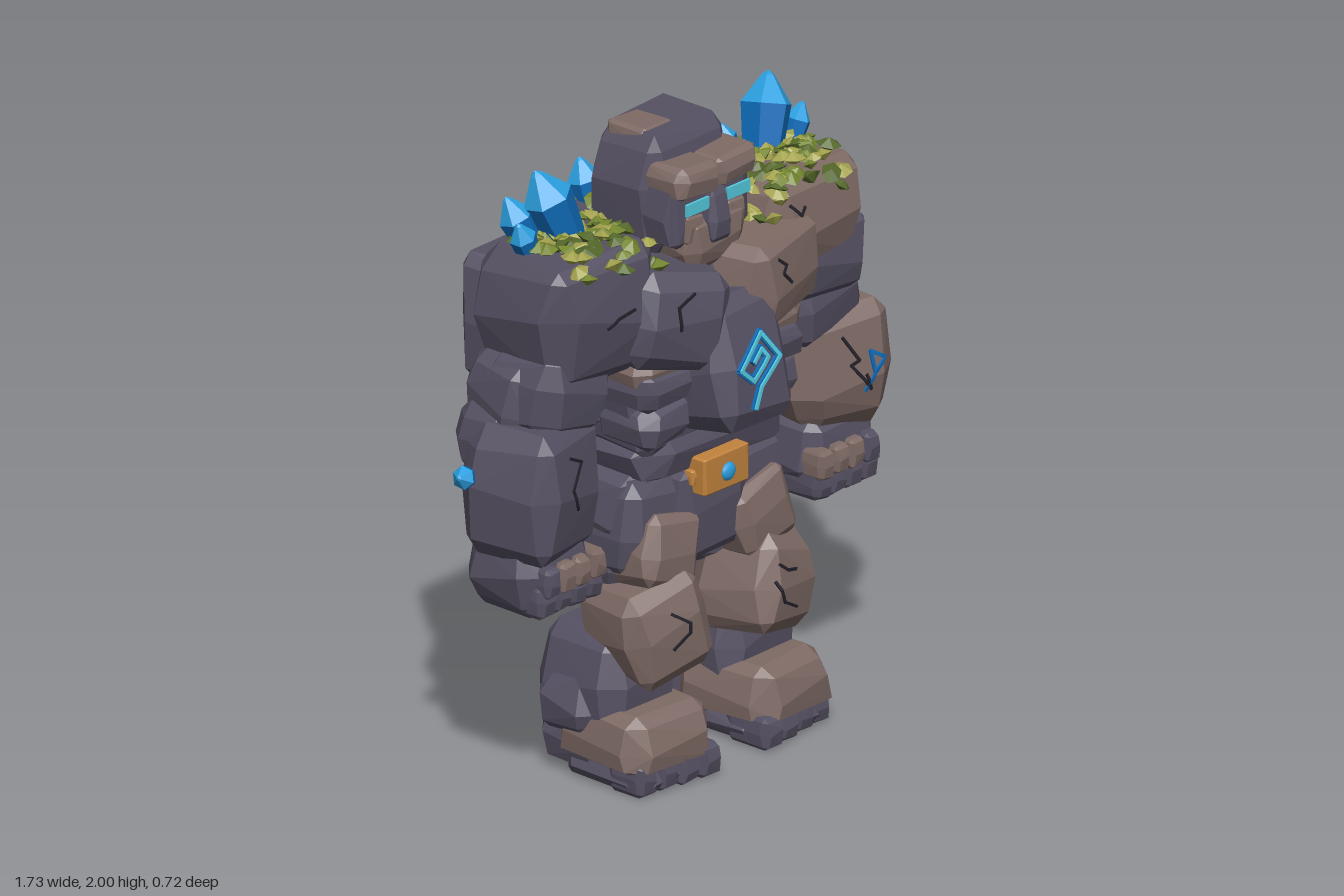
import * as THREE from 'three';
import { ConvexGeometry } from 'three/addons/geometries/ConvexGeometry.js';

const material = (name, color) => {
  const m = new THREE.MeshStandardMaterial({ color });
  m.name = name;
  return m;
};

export function createModel() {
  const root = new THREE.Group();
  root.name = 'stoneGolem';
  const dark = material('slate stone', 0x565163), brown = material('brown stone', 0x7e6a65);
  const crackMat = material('crack black', 0x25222b), orange = material('buckle orange', 0xc2833d);
  const blue = material('crystal blue', 0x0f6bb8), light = material('crystal tip blue', 0x2ba0e0);
  const cyan = material('glow cyan', 0x54c8dc);
  const mosses = [material('moss green', 0x74862f), material('moss olive', 0xa3a24d), material('moss dark', 0x55682a)];

  let seed = 7;
  const rand = () => (seed = (seed * 16807) % 2147483647) / 2147483647;
  const rocks = [];

  function add(name, geo, mat, parent = root) {
    const m = new THREE.Mesh(geo, mat);
    m.name = name;
    parent.add(m);
    return m;
  }

  // Chamfered boulder filling the ranges b = [x0, x1, y0, y1, z0, z1]; top and bottom scale its ends
  function rock(name, mat, b, { r = [0, 0, 0], c = 0.2, top = 0.92, bottom = 0.92, j = 0.05 } = {}) {
    const h = [(b[1] - b[0]) / 2, (b[3] - b[2]) / 2, (b[5] - b[4]) / 2];
    const pts = [];
    for (const sx of [-1, 1]) for (const sy of [-1, 1]) for (const sz of [-1, 1]) {
      const s = [sx, sy, sz], k = sy > 0 ? top : bottom;
      const cut = c * (0.7 + rand() * 0.8);
      for (let axis = 0; axis < 3; axis++) {
        const p = s.map((v, i) => v * h[i] * (i === axis ? 1 - rand() * j : 1 - cut * 1.5 - rand() * j));
        pts.push(new THREE.Vector3(p[0] * k, p[1], p[2] * k));
      }
    }
    // Belt of points around the middle keeps tapered rocks full
    for (const sx of [-1, 1]) for (const sz of [-1, 1]) {
      const y = h[1] * (rand() - 0.5) * 0.5;
      pts.push(new THREE.Vector3(sx * h[0], y, sz * h[2] * 0.62), new THREE.Vector3(sx * h[0] * 0.62, y, sz * h[2]));
    }
    const m = add(name, new ConvexGeometry(pts), mat);
    m.position.set((b[0] + b[1]) / 2, (b[2] + b[3]) / 2, (b[4] + b[5]) / 2);
    m.rotation.set(...r);
    rocks.push(m);
    return m;
  }

  // Head
  rock('head', dark, [-0.18, 0.21, 1.6, 2.0, -0.21, 0.09], { c: 0.14, top: 0.87 });
  rock('headCap', brown, [-0.13, 0.02, 1.9, 2.003, -0.16, 0.02], { c: 0.16 });
  rock('face', dark, [-0.17, 0.2, 1.66, 1.87, -0.02, 0.155], { c: 0.1, j: 0.01 });
  rock('muzzle', brown, [-0.11, 0.16, 1.57, 1.74, 0, 0.18], { c: 0.14, bottom: 0.86 });
  rock('nose', dark, [-0.03, 0.06, 1.66, 1.83, 0.08, 0.2], { c: 0.12, top: 0.75 });
  rock('leftBrow', brown, [0.005, 0.2, 1.82, 1.92, 0, 0.19], { r: [0, 0, 0.06], c: 0.14 });
  rock('rightBrow', brown, [-0.16, 0.035, 1.82, 1.92, 0, 0.19], { r: [0, 0, -0.06], c: 0.14 });
  for (const x of [-0.07, 0.11]) {
    rock('cheek', brown, [x - 0.04, x + 0.045, 1.67, 1.76, 0.05, 0.168], { c: 0.1 });
    add('eye', new THREE.BoxGeometry(0.1, 0.038, 0.009), cyan).position.set(x, 1.79, 0.168);
  }

  // Torso
  rock('upperBack', dark, [-0.28, 0.34, 1.25, 1.7, -0.35, 0.02], { c: 0.15, bottom: 0.86, r: [0.04, 0, 0.03] });
  rock('torsoCore', dark, [-0.32, 0.38, 1.0, 1.62, -0.22, 0.17], { c: 0.12 });
  rock('rightChest', dark, [-0.36, 0.01, 1.32, 1.63, -0.05, 0.27], { r: [0, -0.25, -0.2], c: 0.15 });
  rock('leftChest', brown, [0.01, 0.42, 1.35, 1.64, -0.05, 0.28], { r: [0, 0.25, 0.05], c: 0.15 });
  rock('sternum', dark, [-0.14, 0.18, 1.09, 1.51, 0.06, 0.335], { r: [-0.16, 0, 0], c: 0.13, top: 0.84, bottom: 0.94, j: 0.02 });
  for (const [x0, x1] of [[-0.34, -0.08], [0.13, 0.4]]) {
    rock('underChest', brown, [x0, x1, 1.26, 1.37, 0, 0.19]);
    rock('upperRib', dark, [x0 + 0.01, x1, 1.18, 1.32, -0.05, 0.21]);
    rock('lowerRib', dark, [x0 + 0.03, x1 - 0.02, 1.06, 1.21, -0.05, 0.2]);
    rock('backRib', dark, [x0 - 0.01, x1 + 0.02, 1.1, 1.33, -0.29, 0], { r: [0, 0, x0 < 0 ? 0.1 : -0.1] });
  }
  rock('lowerBack', dark, [-0.26, 0.3, 0.93, 1.2, -0.29, 0], { c: 0.16 });
  rock('waist', dark, [-0.29, 0.37, 0.93, 1.08, -0.2, 0.17], { c: 0.14, r: [0, 0, -0.02] });

  // Pelvis and belt
  rock('pelvis', dark, [-0.34, 0.38, 0.64, 0.98, -0.24, 0.13], { c: 0.16, bottom: 0.87 });
  rock('seat', dark, [-0.25, 0.29, 0.61, 0.86, -0.22, 0.05], { bottom: 0.85 });
  rock('loinPlate', dark, [-0.14, 0.18, 0.65, 0.95, 0, 0.17], { c: 0.12, bottom: 0.92 });
  rock('buckle', orange, [-0.085, 0.115, 0.87, 0.99, 0.1, 0.21], { c: 0.06, j: 0.01, top: 1, bottom: 1 });
  rock('buckleTab', orange, [-0.1, -0.06, 0.9, 0.95, 0.1, 0.18], { c: 0.08 });
  const gem = add('buckleGem', new THREE.IcosahedronGeometry(0.03, 1), light);
  gem.position.set(0.02, 0.925, 0.21);
  gem.scale.z = 0.5;

  // Shoulders
  rock('rightShoulder', dark, [-0.67, -0.19, 1.33, 1.745, -0.26, 0.19], { c: 0.15, top: 0.9, bottom: 0.85, r: [0, -0.08, 0.03] });
  rock('rightShoulderBack', dark, [-0.61, -0.24, 1.26, 1.68, -0.34, -0.04], { c: 0.16, r: [0, 0.1, 0] });
  rock('leftShoulder', brown, [0.22, 0.69, 1.4, 1.745, -0.27, 0.21], { c: 0.15, top: 0.9, bottom: 0.9, r: [0, 0.08, -0.04] });
  rock('leftShoulderBack', dark, [0.28, 0.61, 1.22, 1.6, -0.34, -0.04], { c: 0.18, r: [0, -0.1, 0] });
  rock('leftShoulderUnder', dark, [0.37, 0.7, 1.31, 1.55, -0.14, 0.19], { c: 0.15, r: [0, 0, -0.06] });

  // Arms and legs, mirrored about the body's centre line
  for (const s of [-1, 1]) {
    const side = s < 0 ? 'right' : 'left';
    const limb = (name, mat, x0, x1, rest, { r = [0, 0, 0], ...o } = {}) =>
      rock(side + name, mat, [s < 0 ? 0.035 - x1 : x0, s < 0 ? 0.035 - x0 : x1, ...rest], { ...o, r: [r[0], r[1] * s, r[2] * s] });
    limb('UpperArm', dark, 0.41, 0.73, [1.15, 1.45, -0.18, 0.14], { r: [0, 0, 0.2], c: 0.2 });
    limb('ArmBack', dark, 0.47, 0.74, [1.15, 1.42, -0.23, 0.06], { r: [0.1, 0.2, 0.1] });
    limb('Elbow', dark, 0.56, 0.77, [1.04, 1.28, -0.23, 0]);
    limb('Forearm', s < 0 ? dark : brown, 0.475, 0.84, [0.82, 1.235, -0.17, 0.17], { c: 0.18, r: [0, -0.22, 0.05], top: 0.9, bottom: 0.87 });
    limb('Hand', dark, 0.48, 0.8, [0.635, 0.9, -0.17, 0.13], { c: 0.2, bottom: 0.85 });
    for (let i = 0; i < 4; i++) {
      const x = 0.49 + i * 0.068;
      limb('Knuckle', i === 3 ? dark : brown, x, x + 0.058, [0.72, 0.815, 0.03, 0.165], { c: 0.14 });
      limb('Finger', dark, x, x + 0.066, [0.65, 0.76, -0.02, 0.15], { c: 0.16 });
    }

    // Legs
    limb('Hip', dark, 0.12, 0.37, [0.6, 0.95, -0.12, 0.15], { r: [0, 0, 0.06] });
    limb('Thigh', brown, 0.1, 0.345, [0.6, 0.83, 0, 0.2], { r: [-0.1, 0, 0.25], c: 0.15 });
    limb('ThighBack', dark, 0.08, 0.36, [0.53, 0.84, -0.2, 0.1]);
    limb('ThighLower', dark, 0.14, 0.34, [0.38, 0.6, -0.1, 0.1]);
    limb('Knee', brown, 0.1, 0.41, [0.33, 0.64, -0.06, 0.255], { r: [-0.08, 0.2, -0.2], c: 0.2 });
    limb('Shin', dark, 0.11, 0.445, [0.12, 0.48, -0.21, 0.14], { c: 0.17, top: 0.84, bottom: 0.96 });
    limb('Calf', dark, 0.2, 0.475, [0.13, 0.38, -0.17, 0.06], { top: 0.72 });
    limb('Heel', dark, 0.11, 0.44, [0.01, 0.2, -0.2, 0.08], { c: 0.16 });
    limb('Sole', dark, 0.11, 0.44, [0.005, 0.09, -0.1, 0.25], { c: 0.12 });
    limb('Foot', brown, 0.1, 0.455, [0.06, 0.25, -0.12, 0.27], { r: [0, 0.08, 0], c: 0.15, top: 0.9, bottom: 1 });
    for (let i = 0; i < 4; i++) {
      const x = 0.115 + i * 0.081;
      limb('Toe', dark, x, x + 0.08, [0.005, 0.11, 0.1, 0.285 - 0.012 * i], { c: 0.13 });
    }
  }

  root.updateMatrixWorld(true);
  const ray = new THREE.Raycaster();
  const hit = (from, dir) => {
    ray.set(from, dir);
    const found = ray.intersectObjects(rocks, false)[0];
    return found ? found.point : null;
  };

  // Thin line laid on the front surface along [x, y] points, raised by lift
  function line(name, mat, pts, w, lift = 0) {
    const out = new THREE.Vector3(0, 0, -1);
    for (let i = 0; i < pts.length - 1; i++) for (let k = 0; k < 3; k++) {
      const at = t => hit(new THREE.Vector3(
        THREE.MathUtils.lerp(pts[i][0], pts[i + 1][0], t), THREE.MathUtils.lerp(pts[i][1], pts[i + 1][1], t), 2), out);
      const a = at(k / 3), b = at((k + 1) / 3);
      if (!a || !b || Math.abs(a.z - b.z) > 0.06) continue;
      const m = add(name, new THREE.BoxGeometry(w, 0.009, a.distanceTo(b) + w * 0.6), mat);
      a.z += lift;
      b.z += lift;
      m.position.copy(a).add(b).multiplyScalar(0.5);
      m.up.set(0, 0, 1);
      m.lookAt(b);
    }
  }

  const cracks = [
    [[-0.48, 1.53], [-0.44, 1.55], [-0.37, 1.56]],
    [[-0.24, 1.47], [-0.24, 1.54], [-0.18, 1.57]],
    [[0.16, 1.58], [0.2, 1.55], [0.18, 1.53], [0.22, 1.49]],
    [[0.31, 1.68], [0.35, 1.64], [0.37, 1.66]],
    [[-0.62, 1.15], [-0.56, 1.12], [-0.62, 1.05], [-0.59, 0.98]],
    [[0.6, 1.15], [0.65, 1.07], [0.62, 1.06], [0.69, 0.97], [0.67, 1.02]],
    [[-0.26, 0.56], [-0.2, 0.52], [-0.2, 0.49], [-0.26, 0.45]],
    [[0.18, 0.53], [0.21, 0.46], [0.28, 0.42]], [[0.2, 0.58], [0.24, 0.55], [0.28, 0.54]],
  ];
  cracks.forEach(p => line('crack', crackMat, p, 0.009));
  const rune = [[-0.02, 1.18], [0.01, 1.24], [0.1, 1.31], [0.04, 1.395], [-0.07, 1.31], [-0.02, 1.265], [0.05, 1.32], [0.03, 1.35], [-0.01, 1.32]];
  line('chestRuneEdge', blue, rune, 0.022, 0.004);
  line('chestRune', cyan, rune, 0.012, 0.01);
  line('forearmRune', blue, [[0.67, 0.97], [0.7, 1.02], [0.74, 1.06], [0.69, 1.09], [0.7, 1.02]], 0.012);

  // Crystals: base position, radius, height, lean in x and z
  function crystal(x, y, z, r, h, lx, lz) {
    const c = new THREE.Group();
    c.name = 'crystal';
    root.add(c);
    const part = (name, pts, mat) => {
      const geo = new THREE.LatheGeometry(pts.map(p => new THREE.Vector2(...p)), 6).toNonIndexed();
      geo.computeVertexNormals();
      add(name, geo, mat, c);
    };
    part('crystalBody', [[r * 0.72, 0], [r, h * 0.66]], blue);
    part('crystalTip', [[r, h * 0.66], [r * 0.25, h * 0.95], [0, h]], light);
    c.position.set(x, y, z);
    c.quaternion.setFromUnitVectors(new THREE.Vector3(0, 1, 0), new THREE.Vector3(lx, 1, lz).normalize());
  }
  for (const s of [-1, 1]) {
    crystal(0.035 + s * 0.42, 1.69, -0.05, 0.08, 0.29, s * 0.36, -0.22);
    crystal(0.03 + s * 0.5, 1.68, -0.11, 0.055, 0.22, s * 0.4, -0.28);
    crystal(0.03 + s * 0.56, 1.68, -0.07, 0.042, 0.17, s * 0.45, 0);
  }
  crystal(0.42, 1.69, -0.12, 0.035, 0.14, -0.2, -0.3);
  crystal(-0.06, 1.62, -0.25, 0.056, 0.21, -0.1, -0.22);
  crystal(0.14, 1.61, -0.27, 0.04, 0.17, 0.15, -0.2);
  crystal(0.08, 1.62, -0.27, 0.028, 0.1, -0.2, -0.3);
  crystal(-0.77, 1.07, -0.09, 0.037, 0.11, -3, 0.8);
  crystal(-0.77, 1.06, -0.06, 0.024, 0.08, -3, -1);

  // Moss clumps, flat six-sided scales dropped on the shoulders and upper back
  const down = new THREE.Vector3(0, -1, 0);
  for (const [x0, x1, z0, z1, n] of [[-0.57, -0.2, -0.14, 0.17, 72], [0.23, 0.63, -0.12, 0.19, 76], [-0.12, 0.28, -0.33, -0.19, 36]]) {
    for (let i = 0; i < n; i++) {
      const x = x0 + rand() * (x1 - x0), z = z0 + rand() * (z1 - z0);
      const p = hit(new THREE.Vector3(x, 3, z), down);
      if (!p || p.y > 1.82 || p.y < 1.58) continue;
      const geo = new THREE.SphereGeometry(0.028 + rand() * 0.014, 6, 2).toNonIndexed();
      geo.computeVertexNormals();
      const m = add('moss', geo, mosses[Math.floor(rand() * 2.6)]);
      m.position.copy(p);
      m.position.y += 0.014;
      m.scale.set(1, 0.55, 0.85);
      m.rotation.set((rand() - 0.5) * 1.1, rand() * 6.28, (rand() - 0.5) * 1.1);
    }
  }
  return root;
}
